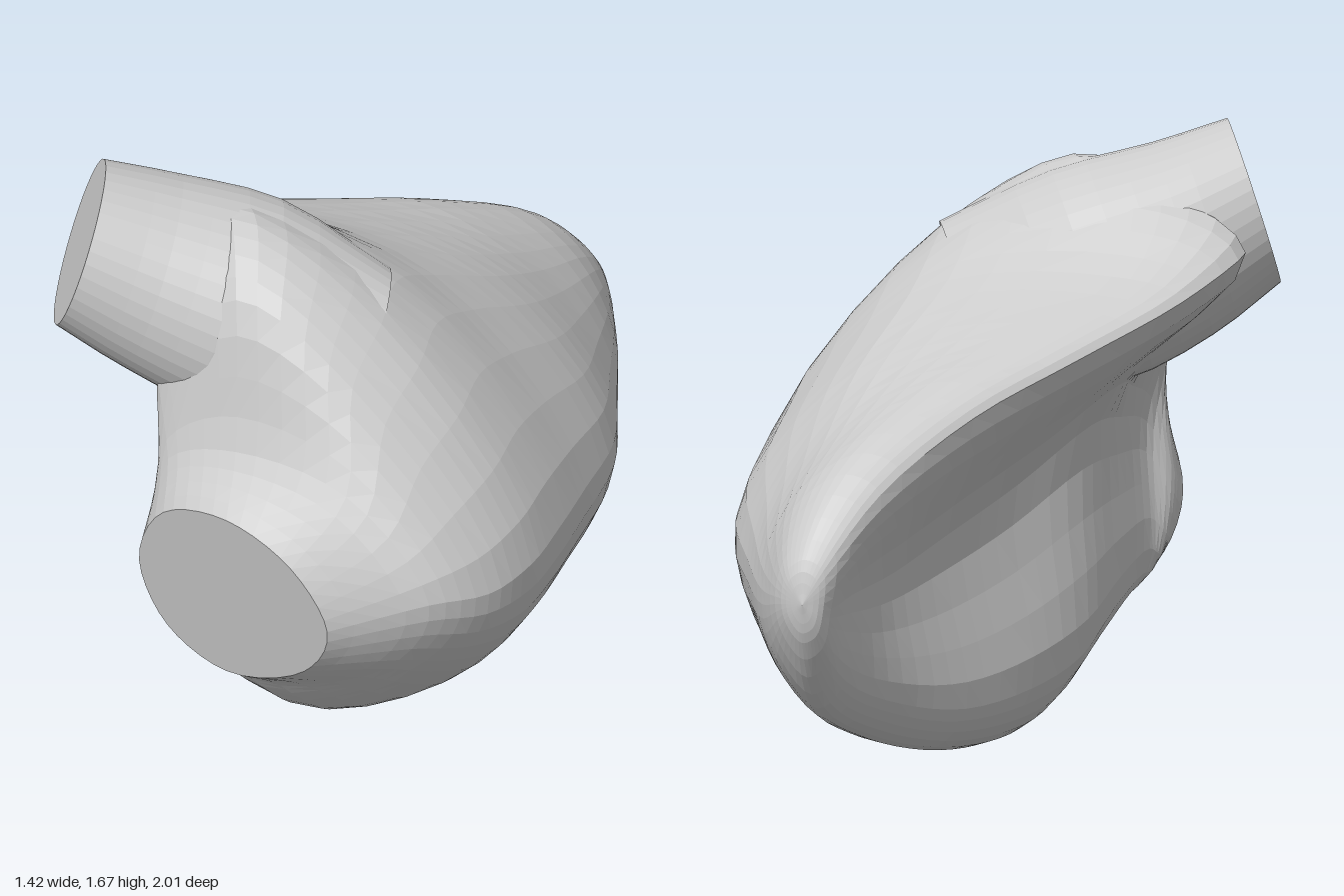
import * as THREE from 'three';

const AROUND = 40;
const material = new THREE.MeshStandardMaterial({ color: 0xcccccc, flatShading: true, side: THREE.DoubleSide });

// Skin a list of rings (each an array of Vector3, clockwise seen from the last ring).
function loft(rings) {
  const n = rings[0].length, pos = [], idx = [];
  rings.forEach(r => r.forEach(p => pos.push(p.x, p.y, p.z)));
  for (let j = 0; j < rings.length - 1; j++) {
    for (let i = 0; i < n; i++) {
      const a = j * n + i, b = j * n + (i + 1) % n, c = a + n, d = b + n;
      idx.push(a, c, b, b, c, d);
    }
  }
  return toGeometry(pos, idx);
}

// Flat lid on a ring.
function lid(ring) {
  const n = ring.length, pos = [], idx = [];
  const c = new THREE.Vector3();
  ring.forEach(p => { pos.push(p.x, p.y, p.z); c.addScaledVector(p, 1 / n); });
  pos.push(c.x, c.y, c.z);
  for (let i = 0; i < n; i++) idx.push(n, (i + 1) % n, i);
  return toGeometry(pos, idx);
}

function toGeometry(pos, idx) {
  const g = new THREE.BufferGeometry();
  g.setAttribute('position', new THREE.Float32BufferAttribute(pos, 3));
  g.setIndex(idx);
  g.computeVertexNormals();
  return g;
}

// Smooth intermediate rings along the length.
function refine(rings, steps) {
  const lines = rings[0].map((_, i) => new THREE.CatmullRomCurve3(rings.map(r => r[i])).getPoints(steps));
  return lines[0].map((_, j) => lines.map(l => l[j]));
}

// Cross-section: z, tilt, then x,y of ridge, top, upper right, right, bottom, lower lip, hollow.
function section([z, tilt, ...xy]) {
  const pts = [];
  for (let k = 0; k < xy.length; k += 2) pts.push(new THREE.Vector3(xy[k], xy[k + 1], 0));
  // The lower right corner bulges between right and bottom
  const [right, bottom] = [pts[3], pts[4]];
  pts.splice(4, 0, new THREE.Vector3(
    THREE.MathUtils.lerp(bottom.x, right.x, 0.74), THREE.MathUtils.lerp(bottom.y, right.y, 0.4), 0));
  pts.forEach(p => { p.z = z + tilt * (0.25 * p.x + 0.2 * (p.y - 0.6)); });
  const curve = new THREE.CatmullRomCurve3(pts, true);
  return Array.from({ length: AROUND }, (_, i) => curve.getPoint(i / AROUND));
}

export function createModel() {
  const group = new THREE.Group();
  const add = (name, geometry) => {
    const mesh = new THREE.Mesh(geometry, material);
    mesh.name = name;
    group.add(mesh);
  };

  // Chamber body, from the pointed back to the inlet at the front
  const tip = Array.from({ length: AROUND }, () => new THREE.Vector3(0.15, 0.57, -1));
  const sections = [
    [-0.97, 0, 0.10, 0.66, 0.15, 0.69, 0.20, 0.66, 0.22, 0.58, 0.16, 0.46, 0.12, 0.48, 0.10, 0.55],
    [-0.80, 0, -0.01, 0.85, 0.09, 0.90, 0.24, 0.80, 0.33, 0.57, 0.17, 0.25, 0.09, 0.33, 0.07, 0.57],
    [-0.50, 0, -0.18, 1.02, -0.05, 1.07, 0.25, 0.93, 0.47, 0.60, 0.13, 0.12, 0.03, 0.22, 0.05, 0.58],
    [-0.20, 0, -0.38, 1.14, -0.22, 1.19, 0.25, 1.08, 0.60, 0.64, 0.06, 0.04, -0.06, 0.16, -0.01, 0.64],
    [0.10, 0, -0.58, 1.26, -0.38, 1.32, 0.20, 1.24, 0.655, 0.68, 0.01, 0.005, -0.15, 0.17, -0.11, 0.73],
    [0.35, 0, -0.68, 1.36, -0.36, 1.52, 0.20, 1.36, 0.69, 0.70, 0.00, 0.01, -0.21, 0.22, -0.24, 0.86],
    [0.55, 0, -0.43, 1.26, -0.20, 1.57, 0.25, 1.35, 0.70, 0.70, 0.00, 0.07, -0.24, 0.32, -0.26, 0.85],
    [0.72, 0.1, -0.34, 1.12, -0.10, 1.44, 0.25, 1.25, 0.66, 0.70, -0.02, 0.20, -0.27, 0.39, -0.28, 0.81],
    [0.81, 0.5, -0.27, 0.93, -0.05, 1.03, 0.30, 1.00, 0.55, 0.72, -0.05, 0.27, -0.28, 0.39, -0.33, 0.68],
  ].map(section);
  const inlet = section([0.92, 1, -0.24, 0.82, -0.02, 0.89, 0.19, 0.81, 0.295, 0.63, -0.08, 0.32, -0.27, 0.40, -0.345, 0.60]);
  add('chamberBody', loft(refine([tip, ...sections, inlet], 40)));
  add('inletFace', lid(inlet));

  // Outlet tube flaring out of the upper corner of the chamber
  const n = new THREE.Vector3(-0.88, 0.3, 0.37).normalize();
  const u = new THREE.Vector3(0, 1, 0).cross(n).normalize();
  const v = n.clone().cross(u);
  const circle = ([x, y, z, r]) => Array.from({ length: AROUND }, (_, i) => {
    const t = -i / AROUND * Math.PI * 2;
    return new THREE.Vector3(x, y, z).addScaledVector(u, r * Math.cos(t)).addScaledVector(v, r * Math.sin(t));
  });
  const tube = [
    [0.14, 1.16, 0.42, 0.24],
    [-0.18, 1.25, 0.47, 0.305],
    [-0.43, 1.35, 0.56, 0.275],
    [-0.605, 1.45, 0.655, 0.235],
  ].map(circle);
  add('outletTube', loft(refine(tube, 9)));
  add('outletFace', lid(tube[3]));

  return group;
}
